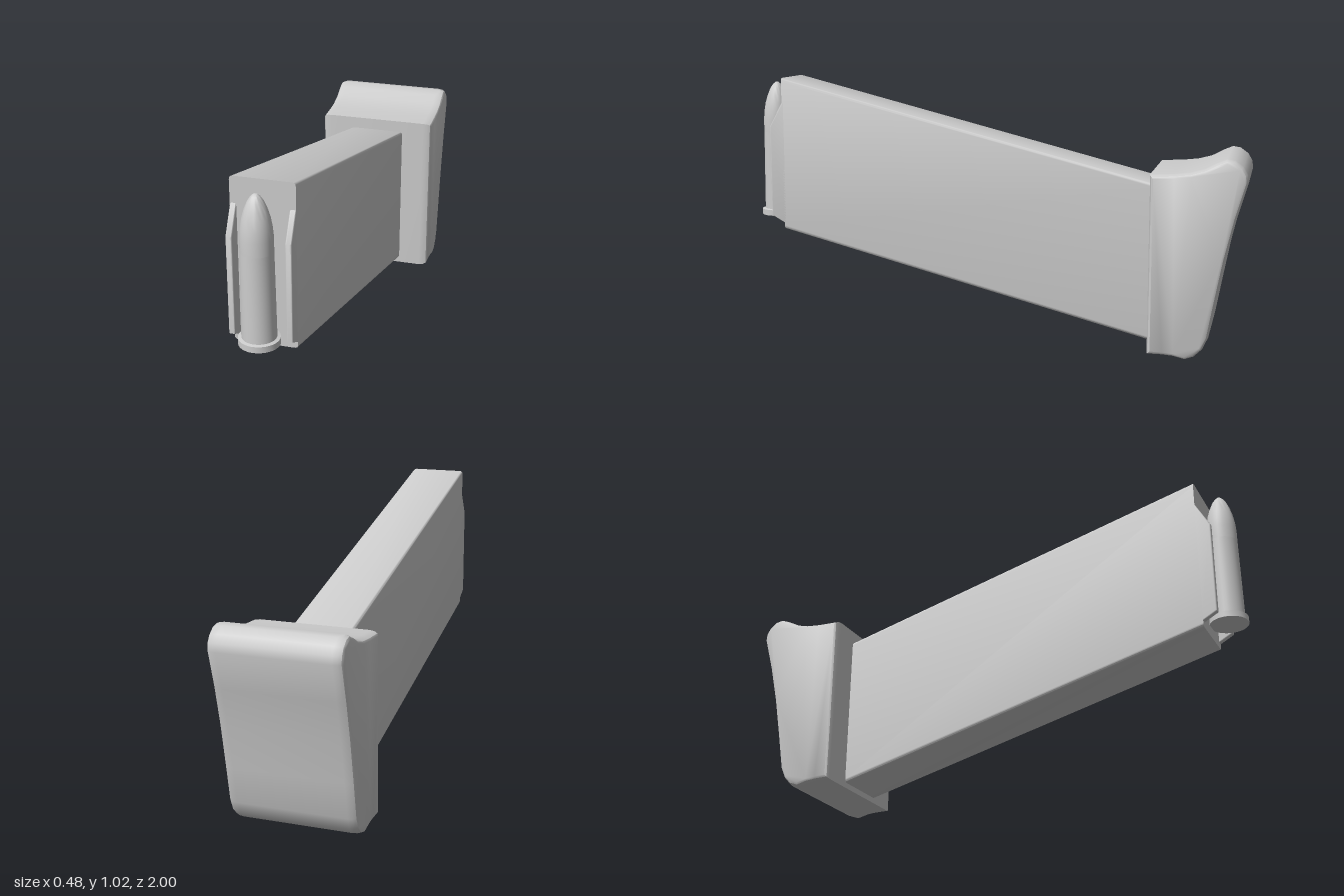
import * as THREE from 'three';
import { toCreasedNormals } from 'three/addons/utils/BufferGeometryUtils.js';

const steel = new THREE.MeshStandardMaterial({ color: 0xcccccc });
steel.name = 'light grey';

function addPart(group, name, geometry, crease = 0.6) {
  const mesh = new THREE.Mesh(toCreasedNormals(geometry, crease), steel);
  mesh.name = name;
  group.add(mesh);
  return mesh;
}

// Extrudes a side profile of [z, y] points across x, with bevelled side edges
function sideExtrude(points, width, bevelThickness, bevelSize) {
  const shape = new THREE.Shape(points.map(([z, y]) => new THREE.Vector2(z, y)));
  const depth = width - 2 * bevelThickness;
  return new THREE.ExtrudeGeometry(shape, {
    depth, bevelThickness, bevelSize, bevelOffset: -bevelSize, bevelSegments: 3,
  }).translate(0, 0, -depth / 2).rotateY(-Math.PI / 2);
}

function roundedRect(w, h, r) {
  const s = new THREE.Shape();
  const x = w / 2;
  s.moveTo(-x + r, 0).lineTo(x - r, 0).quadraticCurveTo(x, 0, x, r);
  s.lineTo(x, h - r).quadraticCurveTo(x, h, x - r, h);
  s.lineTo(-x + r, h).quadraticCurveTo(-x, h, -x, h - r);
  s.lineTo(-x, r).quadraticCurveTo(-x, 0, -x + r, 0);
  return s;
}

export function createModel() {
  const group = new THREE.Group();
  group.name = 'magazine';

  // Slanted body: a rounded section swept along z, then sheared upward
  const body = new THREE.ExtrudeGeometry(roundedRect(0.23, 0.615, 0.014), {
    depth: 1.5, bevelEnabled: false, curveSegments: 4,
  });
  const pos = body.attributes.position;
  for (let i = 0; i < pos.count; i++) pos.setY(i, pos.getY(i) + 0.037 + 0.25 * pos.getZ(i));
  body.translate(0, 0, -0.64);
  addPart(group, 'body', body);

  // Flared base pad
  addPart(group, 'basePad', sideExtrude([
    [-0.64, 0.015], [-0.64, 0.7], [-0.73, 0.705], [-0.79, 0.712], [-0.84, 0.726],
    [-0.885, 0.75], [-0.92, 0.765], [-0.95, 0.76], [-0.98, 0.738], [-0.997, 0.71],
    [-1, 0.68], [-0.96, 0.54], [-0.925, 0.39], [-0.895, 0.23], [-0.87, 0.09],
    [-0.85, 0.045], [-0.82, 0.015], [-0.785, 0.002], [-0.74, 0.012], [-0.7, 0.015],
  ], 0.484, 0.035, 0.015));

  // Feed lips on either side of the cartridge
  for (const side of [1, -1]) {
    const lip = addPart(group, side > 0 ? 'leftFeedLip' : 'rightFeedLip', sideExtrude([
      [0.85, 0.43], [0.915, 0.465], [0.915, 0.83], [0.86, 0.93], [0.85, 0.935],
    ], 0.023, 0.006, 0.006));
    lip.position.x = side * 0.1035;
  }

  // Cartridge: rim and case, then the pointed tip
  const lathe = (points) => new THREE.LatheGeometry(
    points.map(([r, y]) => new THREE.Vector2(r, y)), 32).translate(0, 0, 0.927);
  addPart(group, 'cartridgeCase', lathe([
    [0, 0.455], [0.073, 0.455], [0.073, 0.478], [0.061, 0.481], [0.057, 0.8],
  ]));
  addPart(group, 'cartridgeTip', lathe([
    [0.057, 0.8], [0.057, 0.85], [0.054, 0.885], [0.048, 0.92], [0.039, 0.95],
    [0.028, 0.977], [0.016, 0.995], [0.007, 1.003], [0, 1.005],
  ]));

  return group;
}
